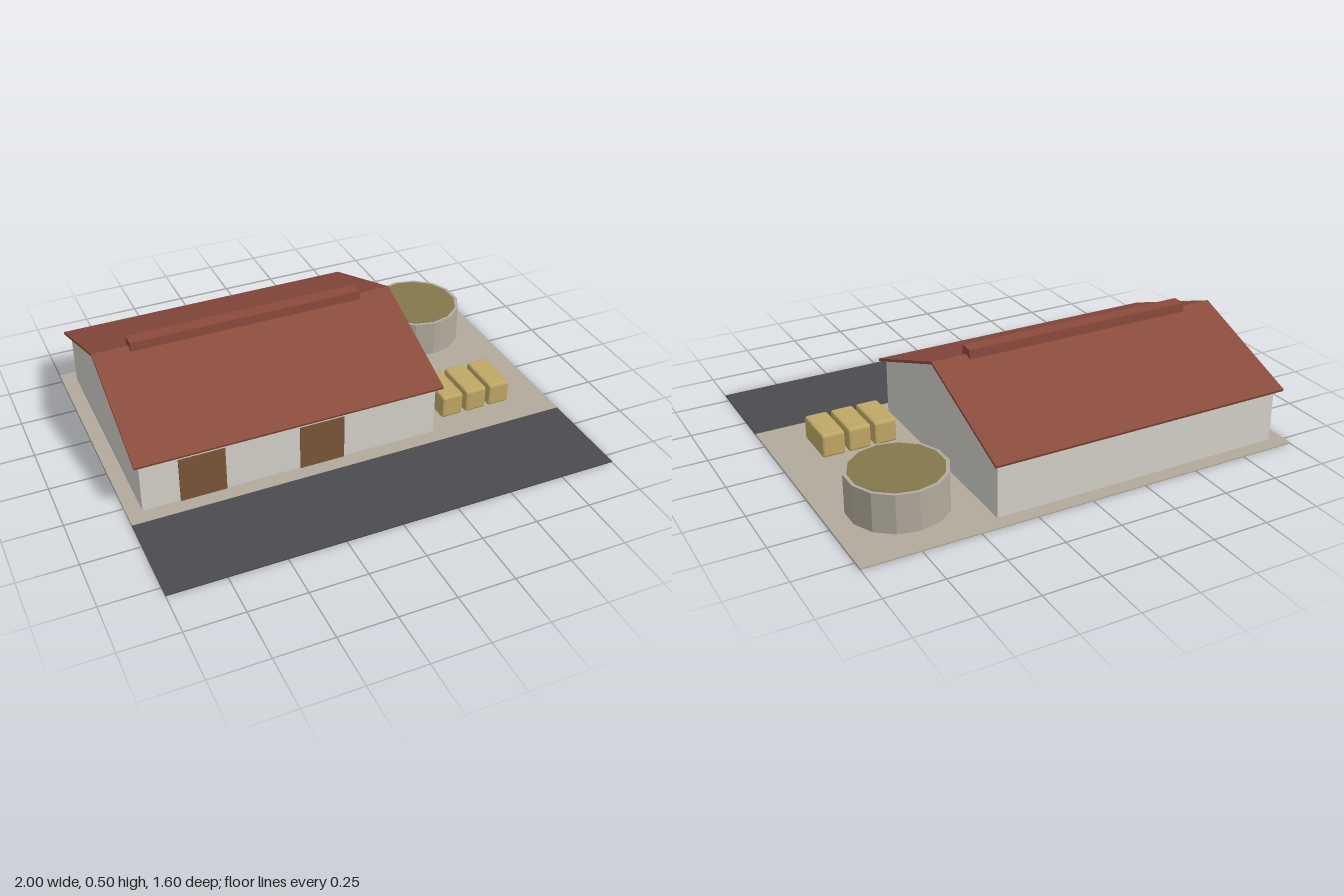
import * as THREE from 'three';
import { RoundedBoxGeometry } from 'three/addons/geometries/RoundedBoxGeometry.js';

const paint = (name, color) => {
  const m = new THREE.MeshStandardMaterial({ color });
  m.name = name;
  return m;
};

export function createModel() {
  const yard = paint('concrete', 0xb2ab9c);
  const asphalt = paint('asphalt', 0x4b4a4f);
  const plaster = paint('plaster', 0xd4d0c8);
  const tile = paint('roof tile', 0x8a4c3d);
  const wood = paint('door wood', 0x7a5636);
  const straw = paint('straw', 0xbfa865);
  const slurry = paint('slurry', 0x84774a);

  const model = new THREE.Group();
  model.name = 'farmstead';
  const add = (name, geometry, material, x = 0, y = 0, z = 0) => {
    const mesh = new THREE.Mesh(geometry, material);
    mesh.name = name;
    mesh.position.set(x, y, z);
    model.add(mesh);
    return mesh;
  };
  // Box given by its limits on each axis
  const block = (name, material, [x0, x1], [y0, y1], [z0, z1]) =>
    add(name, new THREE.BoxGeometry(x1 - x0, y1 - y0, z1 - z0), material,
      (x0 + x1) / 2, (y0 + y1) / 2, (z0 + z1) / 2);
  // Side profile of [z, y] points, extruded along x from x0 to x1
  const prism = (name, material, points, x0, x1) => {
    const shape = new THREE.Shape(points.map(([z, y]) => new THREE.Vector2(-z, y)));
    const geometry = new THREE.ExtrudeGeometry(shape, { depth: x1 - x0, bevelEnabled: false });
    geometry.rotateY(Math.PI / 2);
    return add(name, geometry, material, x0);
  };

  // Ground: yard slab and road strip
  const top = 0.006;
  block('yard', yard, [-1, 1], [0, top], [-0.8, 0.37]);
  block('road', asphalt, [-1, 1], [0, top], [0.37, 0.8]);

  // Barn: gabled walls, thin pitched roof and ridge vent
  const ridge = -0.217;
  prism('barnWalls', plaster, [
    [0.3, top], [0.3, 0.257], [ridge, 0.453], [-0.735, 0.257], [-0.735, top],
  ], -0.935, 0.4);
  prism('roof', tile, [
    [0.333, 0.256], [ridge, 0.465], [-0.767, 0.256],
    [-0.763, 0.245], [ridge, 0.453], [0.329, 0.245],
  ], -0.96, 0.422);
  block('ridgeVent', tile, [-0.8, 0.264], [0.44, 0.495], [ridge - 0.032, ridge + 0.032]);

  // Front doors
  for (const x of [-0.67, -0.136]) {
    block('door', wood, [x - 0.101, x + 0.101], [top, 0.216], [0.298, 0.305]);
  }

  // Fourteen-sided tank with its filling just proud of the rim
  const tank = new THREE.CylinderGeometry(0.213, 0.213, 0.171, 14).toNonIndexed();
  tank.computeVertexNormals();
  add('tank', tank, yard, 0.698, top + 0.0855, -0.465);
  add('tankFilling', new THREE.CylinderGeometry(0.197, 0.197, 0.004, 14), slurry, 0.698, 0.177, -0.465);

  // Row of chamfered straw bales
  for (let i = 0; i < 3; i++) {
    const bale = new RoundedBoxGeometry(0.103, 0.108, 0.212, 1, 0.011);
    bale.computeVertexNormals();
    add('strawBale', bale, straw, 0.533 + i * 0.1185, top + 0.054, 0.127);
  }

  return model;
}
